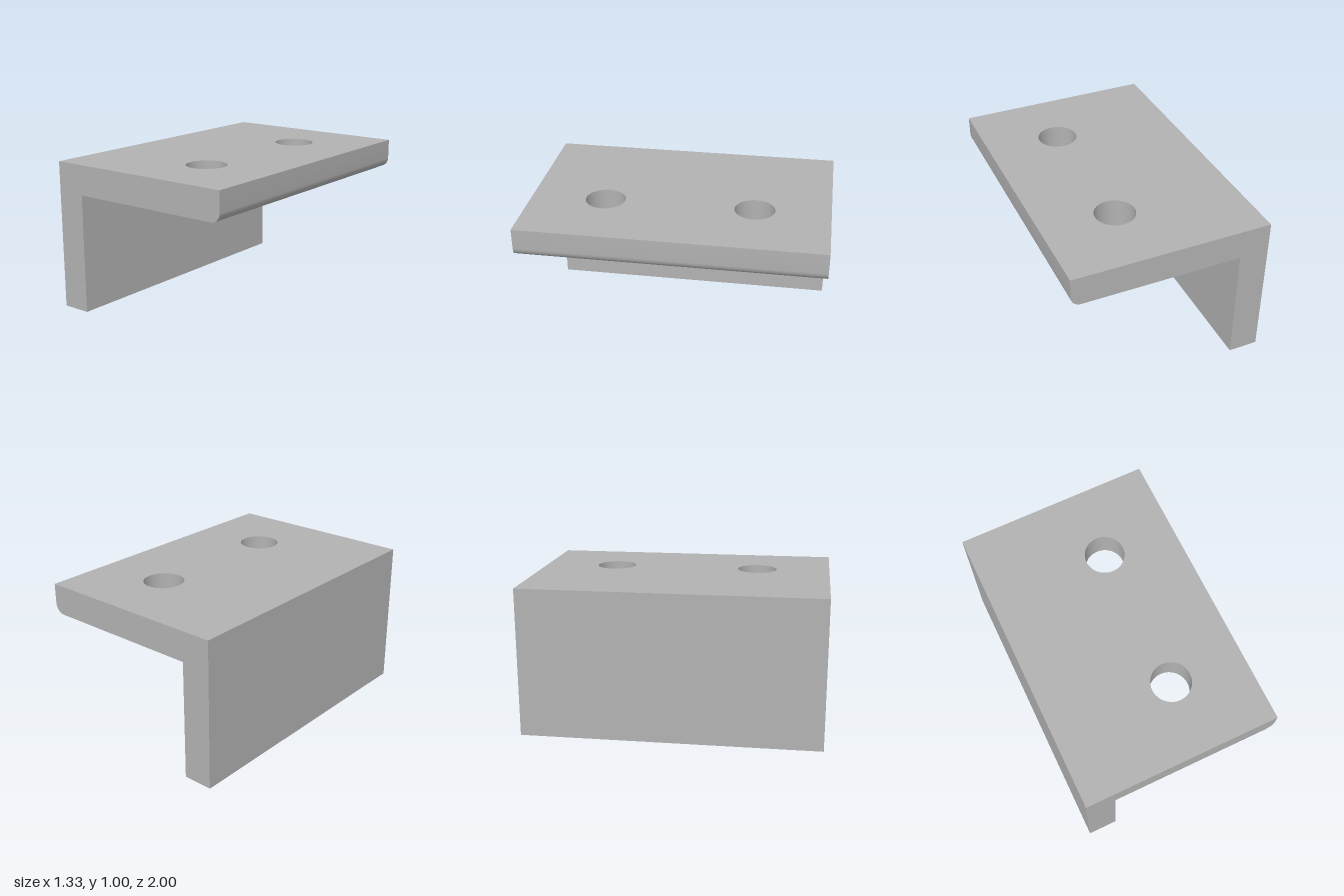
import * as THREE from 'three';
import { toCreasedNormals } from 'three/addons/utils/BufferGeometryUtils.js';

const HALF_W = 0.667, HEIGHT = 1, LENGTH = 2, THICK = 0.2;
const EDGE_R = 0.067, SPLIT_X = 0.45;
const HOLE_X = 0.165, HOLE_Z = 0.5, HOLE_R = 0.134;

export function createModel() {
  const group = new THREE.Group();
  group.name = 'angleBracket';
  const metal = new THREE.MeshStandardMaterial({ color: 0xb2b2b2 });
  metal.name = 'grey metal';

  const add = (name, geometry) => {
    const mesh = new THREE.Mesh(toCreasedNormals(geometry, Math.PI / 6), metal);
    mesh.name = name;
    group.add(mesh);
  };

  // Upright flange
  const legHeight = HEIGHT - THICK;
  const leg = new THREE.BoxGeometry(THICK, legHeight, LENGTH);
  leg.translate(-HALF_W + THICK / 2, legHeight / 2, 0);
  add('uprightFlange', leg);

  // Top flange with two round through holes
  const plate = new THREE.Shape([
    new THREE.Vector2(-HALF_W, -LENGTH / 2),
    new THREE.Vector2(SPLIT_X, -LENGTH / 2),
    new THREE.Vector2(SPLIT_X, LENGTH / 2),
    new THREE.Vector2(-HALF_W, LENGTH / 2),
  ]);
  for (const z of [-HOLE_Z, HOLE_Z]) {
    plate.holes.push(new THREE.Path().absarc(HOLE_X, z, HOLE_R, 0, Math.PI * 2, true));
  }
  const plateGeometry = new THREE.ExtrudeGeometry(plate, { depth: THICK, bevelEnabled: false, curveSegments: 32 });
  plateGeometry.rotateX(-Math.PI / 2).translate(0, legHeight, 0);
  add('topFlange', plateGeometry);

  // Outer lip of the top flange, rounded along its lower edge
  const lip = new THREE.Shape();
  lip.moveTo(SPLIT_X, HEIGHT);
  lip.lineTo(SPLIT_X, legHeight);
  lip.lineTo(HALF_W - EDGE_R, legHeight);
  lip.absarc(HALF_W - EDGE_R, legHeight + EDGE_R, EDGE_R, -Math.PI / 2, 0, false);
  lip.lineTo(HALF_W, HEIGHT);
  const lipGeometry = new THREE.ExtrudeGeometry(lip, { depth: LENGTH, bevelEnabled: false, curveSegments: 10 });
  lipGeometry.translate(0, 0, -LENGTH / 2);
  add('roundedLip', lipGeometry);

  return group;
}
